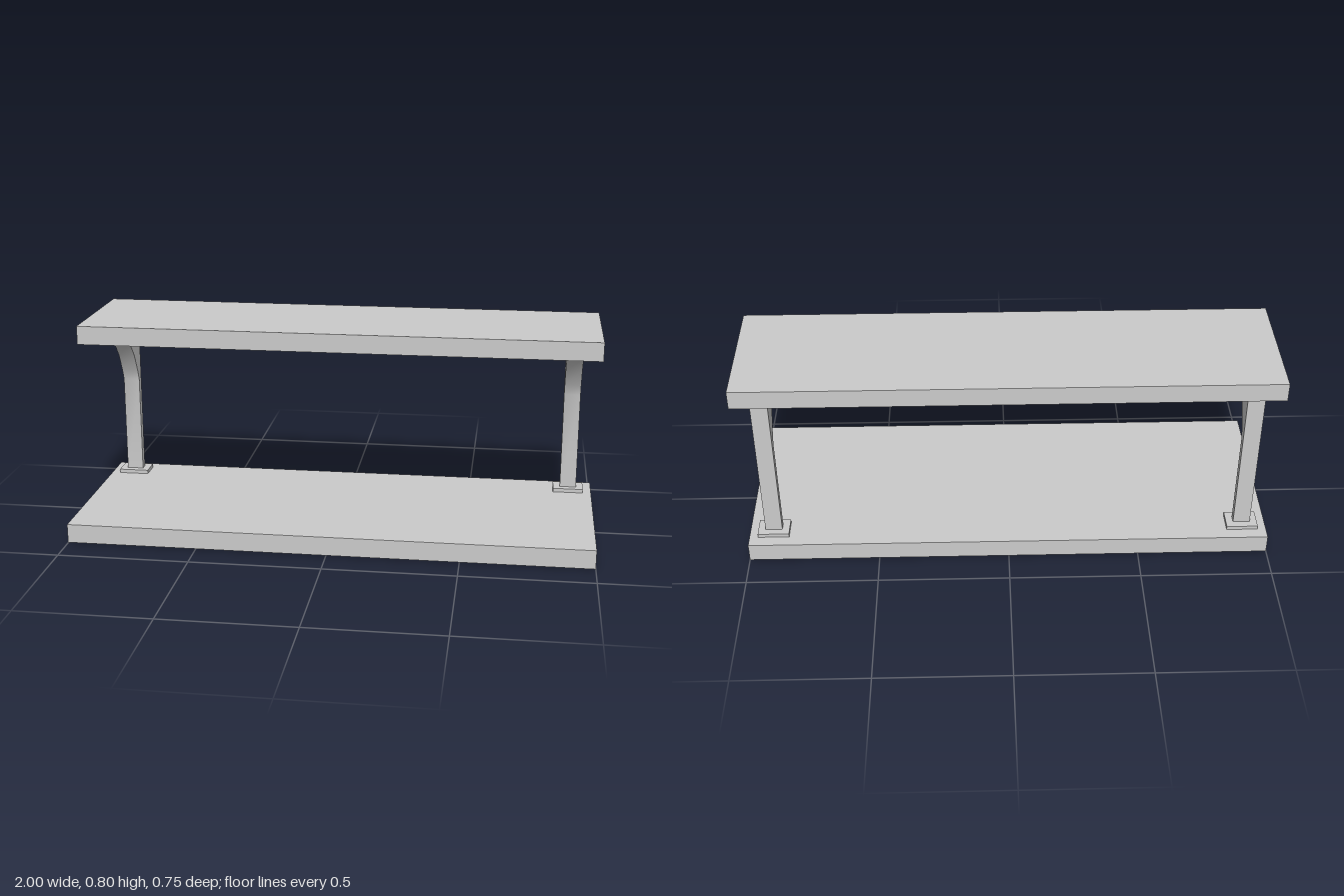
import * as THREE from 'three';
import { toCreasedNormals } from 'three/addons/utils/BufferGeometryUtils.js';

const grey = new THREE.MeshStandardMaterial({ color: 0xcccccc });

// Box given by its extents along each axis
function slab(name, [x0, x1], [y0, y1], [z0, z1]) {
  const mesh = new THREE.Mesh(new THREE.BoxGeometry(x1 - x0, y1 - y0, z1 - z0), grey);
  mesh.position.set((x0 + x1) / 2, (y0 + y1) / 2, (z0 + z1) / 2);
  mesh.name = name;
  return mesh;
}

// Side profile of a post with a curved bracket, as [z, y]
const postProfile = [
  [-0.3, 0.08], [-0.269, 0.08], [-0.269, 0.481], [-0.25, 0.527],
  [-0.21, 0.598], [-0.158, 0.657], [-0.086, 0.724], [-0.3, 0.724],
];
const postWidth = 0.065;

function postGeometry() {
  const shape = new THREE.Shape(postProfile.map(([z, y]) => new THREE.Vector2(-z, y)));
  const geometry = new THREE.ExtrudeGeometry(shape, { depth: postWidth, bevelEnabled: false });
  geometry.translate(0, 0, -postWidth / 2);
  geometry.rotateY(Math.PI / 2);
  return toCreasedNormals(geometry, 0.4);
}

export function createModel() {
  const model = new THREE.Group();
  model.name = 'shelf';

  // Boards
  model.add(slab('baseBoard', [-1, 1], [0.002, 0.075], [-0.375, 0.375]));
  model.add(slab('topBoard', [-1, 1], [0.724, 0.796], [-0.375, 0.132]));

  // Posts, each on a foot plate set through the base board
  const geometry = postGeometry();
  for (const [side, x] of [['left', 0.907], ['right', -0.907]]) {
    const post = new THREE.Mesh(geometry, grey);
    post.name = side + 'Post';
    post.position.x = x;
    model.add(post);
    model.add(slab(side + 'FootPlate', [x - 0.06, x + 0.06], [0, 0.09], [-0.328, -0.242]));
  }
  return model;
}
